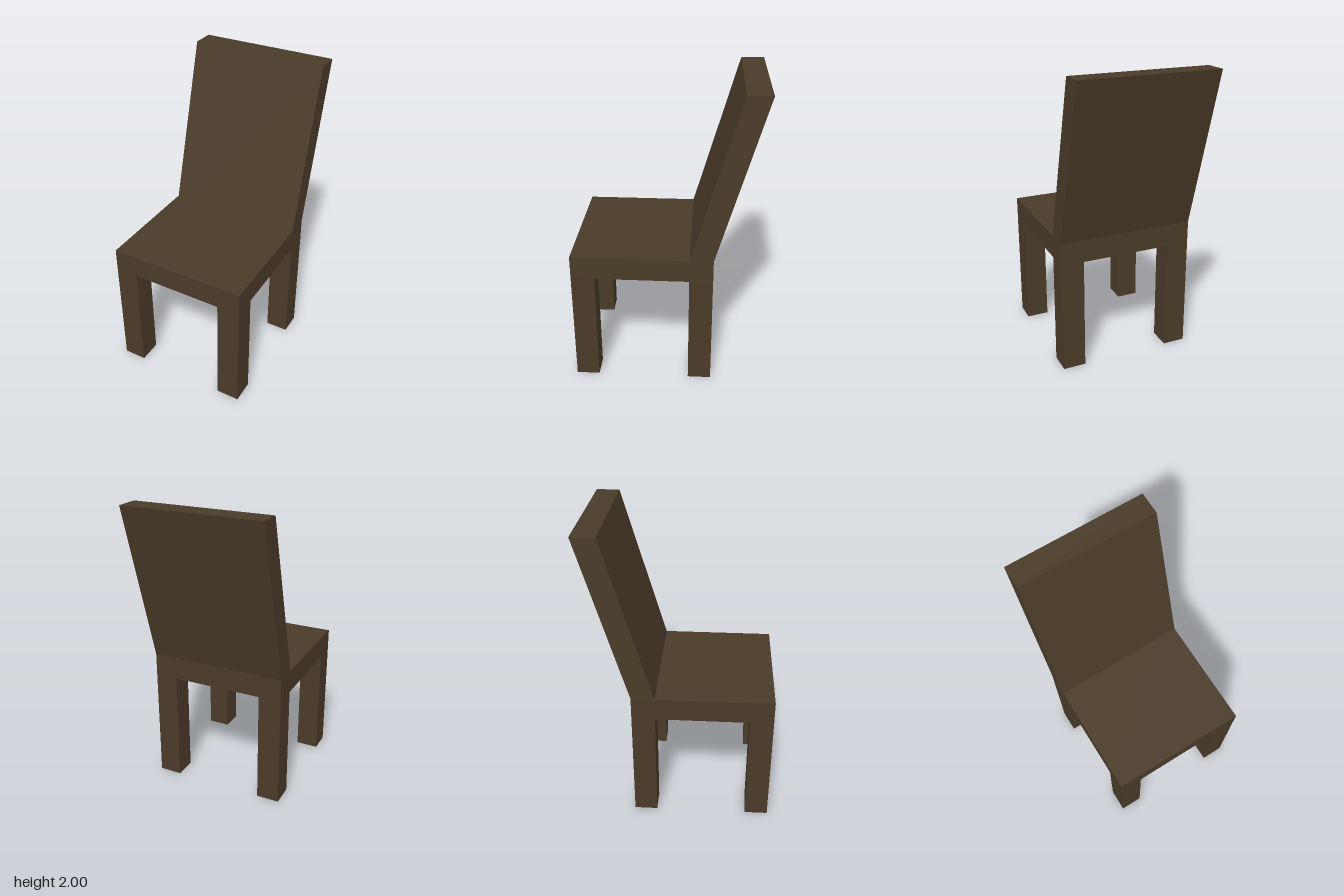
import * as THREE from 'three';

// The whole chair sits on a grid of this unit: 6 wide, 8 deep, 13 high
const U = 2 / 13;

export function createModel() {
  const wood = new THREE.MeshStandardMaterial({ color: 0x4a3b28 });
  wood.name = 'darkWood';

  const chair = new THREE.Group();
  chair.name = 'chair';
  chair.rotation.y = -0.06; // turned slightly off axis

  function add(name, geometry, x = 0, y = 0, z = 0) {
    const mesh = new THREE.Mesh(geometry, wood);
    mesh.name = name;
    mesh.position.set(x * U, y * U, z * U);
    chair.add(mesh);
  }

  // Seat slab
  add('seat', new THREE.BoxGeometry(6 * U, U, 6 * U), 0, 5.5, 1);

  // Four square legs, flush with the seat corners
  const leg = new THREE.BoxGeometry(U, 5 * U, U);
  for (const [side, x] of [['left', 2.5], ['right', -2.5]]) {
    add(side + 'FrontLeg', leg, x, 2.5, 3.5);
    add(side + 'BackLeg', leg, x, 2.5, -1.5);
  }

  // Leaning backrest: side profile (z, y) extruded across the width
  const profile = new THREE.Shape(
    [[-2, 6], [-1, 6], [-3, 13], [-4, 13]].map(([z, y]) => new THREE.Vector2(z * U, y * U))
  );
  const back = new THREE.ExtrudeGeometry(profile, { depth: 6 * U, bevelEnabled: false });
  back.translate(0, 0, -3 * U);
  back.rotateY(-Math.PI / 2);
  add('backrest', back);

  const model = new THREE.Group();
  model.name = 'model';
  model.add(chair);
  return model;
}
